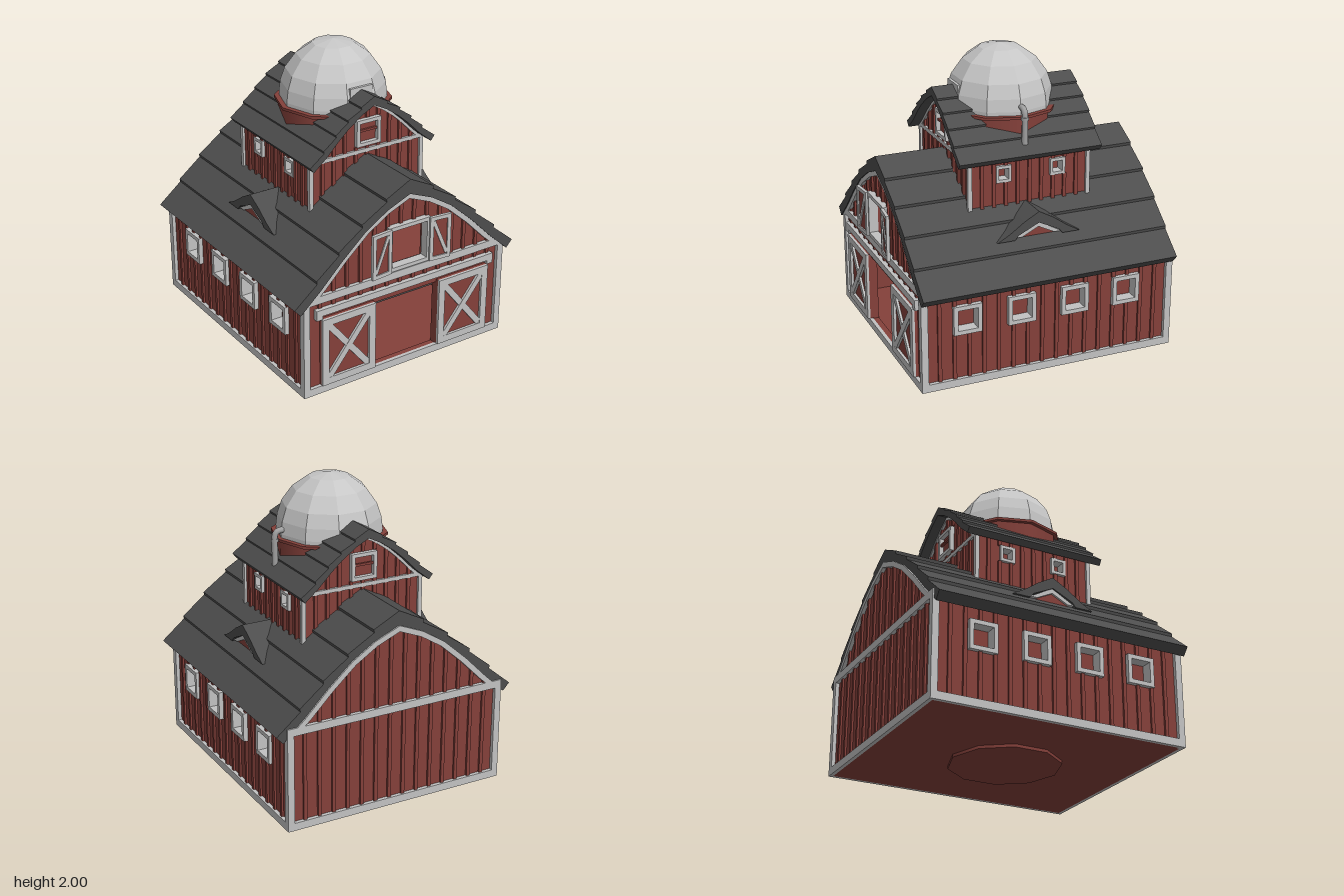
import * as THREE from 'three';

const mat = (name, color) => Object.assign(new THREE.MeshStandardMaterial({ color }), { name });
const red = mat('barn red', 0x84403a);
const trim = mat('trim grey', 0xc2c2c2);
const slate = mat('roof slate', 0x4d4d4d);
const silver = mat('dome silver', 0xc6c6c6);
const steel = mat('pipe steel', 0xa0a0a0);
silver.flatShading = true;

function add(parent, name, geo, material, x = 0, y = 0, z = 0) {
  const m = new THREE.Mesh(geo, material);
  m.name = name;
  m.position.set(x, y, z);
  parent.add(m);
  return m;
}
// box given by its min and max corners
const block = (p, name, material, x0, x1, y0, y1, z0, z1) => add(p, name,
  new THREE.BoxGeometry(x1 - x0, y1 - y0, z1 - z0), material, (x0 + x1) / 2, (y0 + y1) / 2, (z0 + z1) / 2);

const rect = (x0, x1, y0, y1) => [[x0, y0], [x1, y0], [x1, y1], [x0, y1]];
function extrude(pts, depth, holes = []) {
  const s = new THREE.Shape(pts.map(p => new THREE.Vector2(...p)));
  for (const h of holes) s.holes.push(new THREE.Path(h.map(p => new THREE.Vector2(...p))));
  return new THREE.ExtrudeGeometry(s, { depth, bevelEnabled: false });
}
// closed outline from a right half running from the centre outwards
const mirror = half => [...half, ...half.slice(half[0][0] === 0 ? 1 : 0).reverse().map(([x, y]) => [-x, y])];

function frame(p, name, x0, x1, y0, y1, t, z0, z1) {
  return add(p, name, extrude(rect(x0, x1, y0, y1), z1 - z0, [rect(x0 + t, x1 - t, y0 + t, y1 - t)]), trim, 0, 0, z0);
}
function bar(p, name, material, x0, y0, x1, y1, w, z0, z1) {
  const m = add(p, name, new THREE.BoxGeometry(Math.hypot(x1 - x0, y1 - y0), w, z1 - z0), material,
    (x0 + x1) / 2, (y0 + y1) / 2, (z0 + z1) / 2);
  m.rotation.z = Math.atan2(y1 - y0, x1 - x0);
  return m;
}
function archY(arch, x) {
  x = Math.abs(x);
  for (let i = 1; i < arch.length; i++) {
    const [a, b] = arch[i - 1], [c, d] = arch[i];
    if (x <= c) return b + (d - b) * (x - a) / (c - a);
  }
  return arch.at(-1)[1];
}
// vertical wall strips, interrupted by openings [x0, x1, y0, y1]
function battens(p, half, y0, top, openings, z, step) {
  const n = Math.round(2 * half / step);
  for (let i = 1; i < n; i++) {
    const u = -half + 2 * half * i / n;
    let runs = [[y0, top(u)]];
    for (const [a, b, c, d] of openings)
      if (u > a - 0.01 && u < b + 0.01) runs = runs.flatMap(([s, e]) => [[s, Math.min(e, c)], [Math.max(s, d), e]]);
    for (const [s, e] of runs) if (e - s > 0.01) block(p, 'batten', red, u - 0.012, u + 0.012, s, e, z, z + 0.014);
  }
}

// walls, trim and windows shared by the barn and the upper house
function house(name, o) {
  const g = new THREE.Group();
  g.name = name;
  const { arch, w, y0, beam, t, zf, zb, out } = o;
  const mid = (zf + zb) / 2, half = (zf - zb) / 2;
  const outline = [[w, y0], [-w, y0], ...mirror(arch).slice(arch.length), ...arch];
  const sill = arch.at(-1)[1];
  const inner = arch.map(([x, y]) => [x * o.k, sill + (y - sill) * o.k]);
  const band = [...arch.slice().reverse(), ...arch.slice(1).map(([x, y]) => [-x, y]),
    ...inner.slice(1).reverse().map(([x, y]) => [-x, y]), ...inner];
  for (const s of [1, -1]) {
    // gable end
    const end = new THREE.Group();
    end.name = s > 0 ? 'frontEnd' : 'backEnd';
    end.rotation.y = s > 0 ? 0 : Math.PI;
    end.position.z = mid;
    g.add(end);
    const holes = s > 0 ? o.holes : [];
    add(end, 'gableWall', extrude(outline, 0.04, holes.map(h => rect(...h))), red, 0, 0, half - 0.04);
    battens(end, w, y0 + 0.03, x => archY(arch, x) - 0.02, s > 0 ? holes.concat(o.marks) : o.backMarks, half, o.step);
    add(end, 'archTrim', extrude(band, out), trim, 0, 0, half);
    block(end, 'crossBeam', trim, -w, w, beam - t, beam, half, half + out);
    if (o.foot) block(end, 'footBeam', trim, -w, w, y0, y0 + t, half, half + out);
    // side wall
    const side = new THREE.Group();
    side.name = s > 0 ? 'leftSide' : 'rightSide';
    side.rotation.y = s * Math.PI / 2;
    side.position.z = mid;
    g.add(side);
    const wins = o.wins.map(z => {
      const u = -s * (z - mid);
      return [u - o.ww / 2, u + o.ww / 2, o.wy[0], o.wy[1]];
    });
    add(side, 'sideWall', extrude(rect(-half, half, y0, beam), 0.04, wins.map(h => rect(...h))), red, 0, 0, w - 0.04);
    battens(side, half, y0 + 0.03, () => beam, wins, w, o.step);
    for (const h of wins) {
      frame(side, 'windowFrame', ...h, o.wt, w - 0.05, w + out + 0.005);
      block(side, 'windowPane', red, ...h, w - 0.06, w - 0.05);
    }
    if (o.foot) block(side, 'footBeam', trim, -half, half, y0, y0 + t, w, w + out);
    for (const e of [1, -1])
      block(g, 'cornerPost', trim, ...(s > 0 ? [w - o.post, w + out] : [-w - out, -w + o.post]), y0, beam,
        ...(e > 0 ? [zf - o.post, zf + out] : [zb - out, zb + o.post]));
  }
  return g;
}

// curved roof of overlapping planks
function roof(p, name, top, under, step, z0, z1) {
  const upper = [top[0]];
  for (let i = 1; i < top.length; i++) {
    upper.push(top[i]);
    if (i < top.length - 1) upper.push([top[i][0] - 0.004, top[i][1] - step]);
  }
  const outline = [...upper, ...under.slice().reverse(),
    ...under.slice(1).map(([x, y]) => [-x, y]), ...upper.slice(1).reverse().map(([x, y]) => [-x, y])];
  add(p, name, extrude(outline, z1 - z0), slate, 0, 0, z0);
}

export function createModel() {
  const model = new THREE.Group();
  model.name = 'barnObservatory';

  // main barn
  const arch = [[0, 1.245], [0.17, 1.175], [0.33, 1.075], [0.5, 0.925], [0.66, 0.765], [0.745, 0.69]];
  const barn = house('barn', {
    arch, w: 0.755, y0: 0.02, beam: 0.72, t: 0.052, k: 0.93, zf: 0.83, zb: -0.875, out: 0.025, post: 0.02,
    foot: true, step: 0.1, holes: [[-0.25, 0.25, 0.07, 0.53], [-0.14, 0.14, 0.75, 1.03]],
    marks: [[-0.7, 0.7, 0.05, 0.63]], backMarks: [],
    wins: [0.545, 0.175, -0.195, -0.56], ww: 0.19, wy: [0.38, 0.575], wt: 0.028,
  });
  model.add(barn);
  roof(barn, 'mainRoof', [[0, 1.34], [0.18, 1.25], [0.36, 1.125], [0.53, 0.985], [0.69, 0.835], [0.85, 0.68]],
    [[0, 1.24], [0.17, 1.17], [0.33, 1.07], [0.5, 0.92], [0.66, 0.76], [0.805, 0.63]], 0.02, -0.89, 0.862);
  block(barn, 'floor', red, -0.755, 0.755, 0.02, 0.06, -0.875, 0.83);
  add(barn, 'floorDisc', new THREE.CylinderGeometry(0.37, 0.37, 0.02, 10), red, 0.01, 0.01, 0);
  block(barn, 'loftFloor', red, -0.72, 0.72, 0.68, 0.72, -0.84, 0.79);
  block(barn, 'doorLintel', slate, -0.3, 0.3, 0.49, 0.54, 0.7, 0.788);

  // interior post, stalls and loft furniture
  block(barn, 'post', red, -0.017, 0.017, 0.06, 0.68, -0.2, -0.166);
  for (const s of [1, -1]) {
    bar(barn, 'brace', red, 0, 0.38, s * 0.13, 0.5, 0.025, -0.195, -0.17);
    block(barn, 'stallRail', red, ...(s > 0 ? [0.05, 0.7] : [-0.7, -0.05]), 0.2, 0.23, -0.6, -0.57);
    block(barn, 'chairPost', red, s * 0.06 - 0.008, s * 0.06 + 0.008, 0.8, 0.96, 0.3, 0.32);
  }
  for (const y of [0.84, 0.89, 0.94]) block(barn, 'chairSlat', red, -0.06, 0.06, y, y + 0.018, 0.3, 0.32);
  block(barn, 'loftPlatform', slate, -0.3, 0.3, 0.72, 0.83, -0.1, 0.3);

  // sliding doors and rail
  block(barn, 'doorRail', trim, -0.69, 0.69, 0.58, 0.625, 0.83, 0.862);
  for (const s of [1, -1]) {
    block(barn, 'railEnd', trim, s * 0.667 - 0.023, s * 0.667 + 0.023, 0.555, 0.58, 0.83, 0.862);
    const door = new THREE.Group();
    door.name = 'slidingDoor';
    door.position.x = s * 0.45;
    barn.add(door);
    block(door, 'doorPanel', red, -0.2, 0.2, 0.075, 0.55, 0.83, 0.85);
    frame(door, 'doorFrame', -0.2, 0.2, 0.075, 0.55, 0.048, 0.85, 0.868);
    for (const d of [1, -1]) bar(door, 'doorBrace', trim, -0.16, 0.3125 - d * 0.2, 0.16, 0.3125 + d * 0.2, 0.042, 0.85, 0.866 + d * 0.001);
    // loft shutter, swung open
    const shutter = new THREE.Group();
    shutter.name = 'loftShutter';
    shutter.position.set(s * 0.225, 0, 0.882);
    shutter.rotation.y = -s * 0.1;
    barn.add(shutter);
    block(shutter, 'shutterPanel', red, -0.075, 0.075, 0.735, 1.04, -0.008, 0.004);
    frame(shutter, 'shutterFrame', -0.077, 0.077, 0.735, 1.042, 0.026, -0.01, 0.012);
    bar(shutter, 'shutterBrace', trim, s * -0.05, 1.01, s * 0.05, 0.77, 0.024, 0, 0.011);
  }
  frame(barn, 'loftFrame', -0.16, 0.16, 0.735, 1.045, 0.026, 0.81, 0.872);

  // upper house
  const up = house('upperHouse', {
    arch: [[0, 1.7], [0.09, 1.655], [0.19, 1.585], [0.27, 1.515], [0.36, 1.425], [0.415, 1.37]],
    w: 0.425, y0: 1.0, beam: 1.38, t: 0.026, k: 0.93, zf: 0.385, zb: -0.435, out: 0.016, post: 0.012,
    foot: false, step: 0.085, holes: [], marks: [[-0.09, 0.09, 1.4, 1.59]], backMarks: [[-0.09, 0.09, 1.4, 1.59]],
    wins: [0.158, -0.218], ww: 0.106, wy: [1.21, 1.322], wt: 0.02,
  });
  model.add(up);
  roof(up, 'upperRoof', [[0, 1.755], [0.1, 1.702], [0.2, 1.637], [0.29, 1.558], [0.38, 1.472], [0.48, 1.38]],
    [[0, 1.695], [0.09, 1.65], [0.19, 1.58], [0.27, 1.51], [0.36, 1.42], [0.452, 1.345]], 0.014, -0.515, 0.47);
  for (const z of [0.385, -0.465]) {
    frame(up, 'gableWindow', -0.092, 0.092, 1.405, 1.585, 0.024, z, z + 0.03);
    block(up, 'gableWindowSash', red, -0.068, 0.068, 1.5, 1.515, z + 0.005, z + 0.02);
  }

  // small roof dormers, inner end cut to follow the roof slope
  for (const s of [1, -1]) {
    const dormer = new THREE.Group();
    dormer.name = 'dormer';
    dormer.rotation.y = s * Math.PI / 2;
    model.add(dormer);
    const half = [[0, 1.06], [0.1, 1.005], [0.2, 0.935], [0.285, 0.888], [0.165, 0.888], [0.14, 0.918], [0, 0.985]];
    const geo = extrude([...half, ...half.slice(1, -1).reverse().map(([x, y]) => [-x, y])], 0.64);
    const p = geo.attributes.position;
    for (let i = 0; i < p.count; i++) if (p.getZ(i) < 0.1) p.setZ(i, 0.6 - (p.getY(i) - 0.885));
    geo.computeVertexNormals();
    add(dormer, 'dormerRoof', geo, slate);
    add(dormer, 'dormerTrim', extrude([[-0.16, 0.9], [-0.11, 0.9], [0, 0.955], [0.11, 0.9], [0.16, 0.9], [0, 0.987]], 0.05), trim, 0, 0, 0.58);
    add(dormer, 'dormerFill', extrude([[-0.13, 0.89], [0.13, 0.89], [0, 0.96]], 0.05), red, 0, 0, 0.565);
  }

  // observatory dome on a ten-sided drum
  const turn = Math.PI / 10;
  const profile = [[0.35, 1.58], [0.352, 1.63], [0.342, 1.71], [0.312, 1.8], [0.24, 1.9], [0.135, 1.975], [0, 2]];
  add(model, 'dome', new THREE.LatheGeometry(profile.map(q => new THREE.Vector2(...q)), 10, turn), silver);
  add(model, 'drum', new THREE.CylinderGeometry(0.36, 0.36, 0.2, 10, 1, false, turn), red, 0, 1.49, 0);
  add(model, 'drumRim', new THREE.CylinderGeometry(0.385, 0.385, 0.018, 10, 1, false, turn), red, 0, 1.597, 0);
  block(model, 'domeHatch', silver, -0.085, 0.085, 1.58, 1.77, 0.25, 0.325);

  // bent vent pipe
  const path = new THREE.CatmullRomCurve3([[0.31, 1.66], [0.36, 1.66], [0.39, 1.65], [0.4, 1.62], [0.4, 1.55], [0.4, 1.43]]
    .map(([x, y]) => new THREE.Vector3(x, y, -0.005)));
  add(model, 'ventPipe', new THREE.TubeGeometry(path, 20, 0.02, 10), steel);
  add(model, 'pipeCollar', new THREE.CylinderGeometry(0.025, 0.025, 0.02, 10), steel, 0.4, 1.6, -0.005);
  return model;
}
